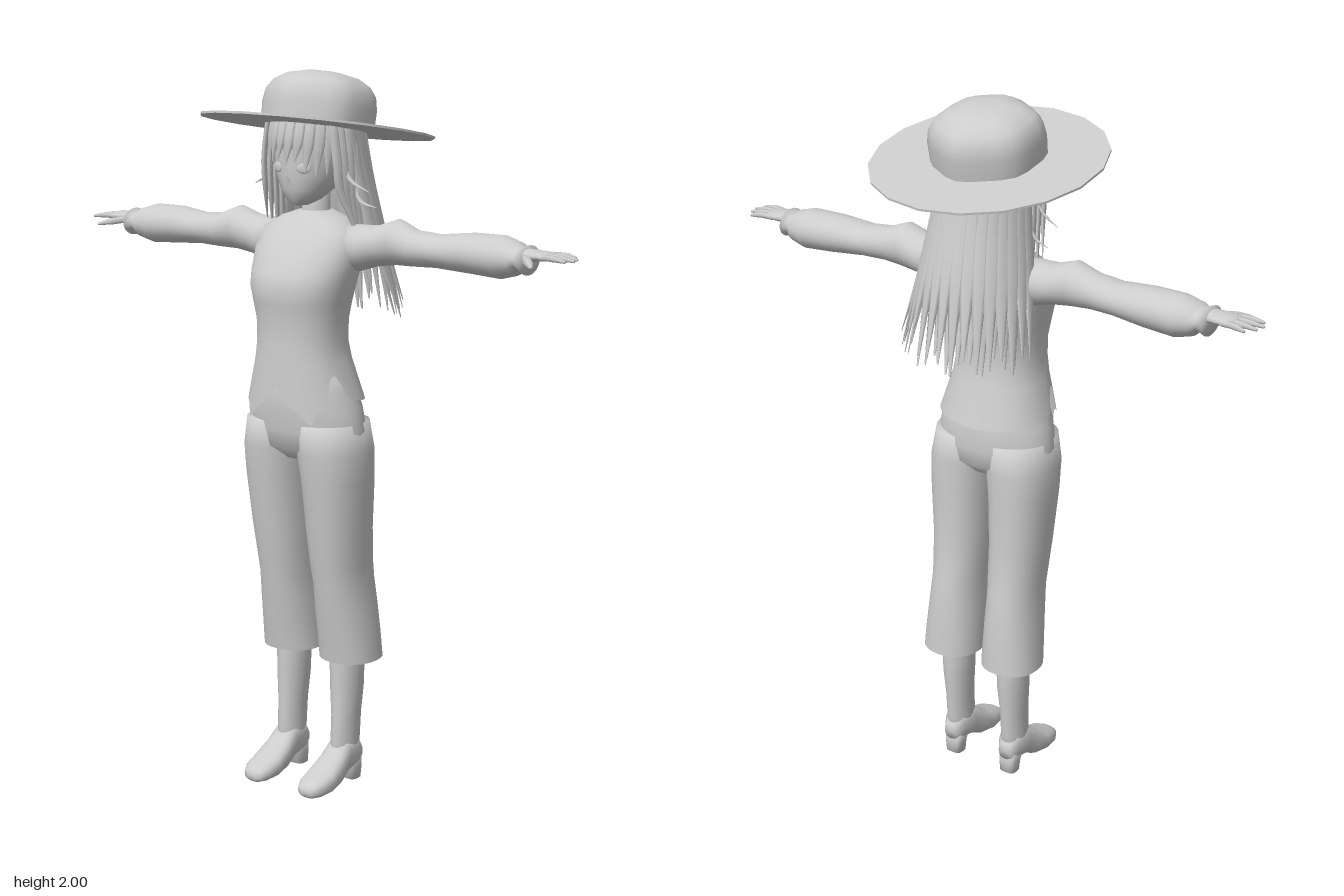
import * as THREE from 'three';
import { mergeGeometries } from 'three/addons/utils/BufferGeometryUtils.js';

const grey = new THREE.MeshStandardMaterial({ color: 0xcccccc, side: THREE.DoubleSide });
grey.name = 'plain grey';

// Smooth skin over closed rings of points, with optional end caps
function skin(rings, capStart = true, capEnd = true) {
  const n = rings[0].length, last = rings.length - 1, pts = rings.flat(), index = [];
  for (let i = 0; i < last; i++) {
    for (let j = 0; j < n; j++) {
      const k = (j + 1) % n, a = i * n + j, b = i * n + k;
      index.push(a, b, b + n, a, b + n, a + n);
    }
  }
  const cap = (r, flip) => {
    const c = new THREE.Vector3();
    rings[r].forEach(p => c.addScaledVector(p, 1 / n));
    const m = pts.push(c) - 1;
    for (let j = 0; j < n; j++) {
      const a = r * n + j, b = r * n + (j + 1) % n;
      index.push(m, flip ? b : a, flip ? a : b);
    }
  };
  if (capStart) cap(0, true);
  if (capEnd) cap(last, false);
  const g = new THREE.BufferGeometry().setFromPoints(pts);
  g.setIndex(index);
  g.computeVertexNormals();
  return g;
}

// Rings along an axis (0 x, 1 y, 2 z); section = [position, min, max, min, max] on the next two axes
function rings(axis, sections, n = 24, power = 1) {
  const bend = v => Math.sign(v) * Math.abs(v) ** power;
  return sections.map(([t, c0, c1, s0, s1]) => Array.from({ length: n }, (_, j) => {
    const th = j / n * Math.PI * 2, p = [];
    p[axis] = t;
    p[(axis + 1) % 3] = (c0 + c1) / 2 + (c1 - c0) / 2 * bend(Math.cos(th));
    p[(axis + 2) % 3] = (s0 + s1) / 2 + (s1 - s0) / 2 * bend(Math.sin(th));
    return new THREE.Vector3(...p);
  }));
}
// Sections symmetric in x, stacked upwards: [y, back z, front z, half width]
const stack = list => list.map(([y, b, f, w]) => [y, b, f, -w, w]);

// Tapering flattened strand along a curve; out is the thin direction
function strand(points, out, width, thick, tip = 0.15, steps = 8) {
  const curve = new THREE.CatmullRomCurve3(points.map(p => new THREE.Vector3(...p)));
  const list = [];
  for (let i = 0; i <= steps; i++) {
    const t = i / steps, c = curve.getPoint(t), tan = curve.getTangent(t);
    const v = new THREE.Vector3(...out).addScaledVector(tan, -tan.dot(new THREE.Vector3(...out))).normalize();
    const u = v.clone().cross(tan);
    const k = t < 0.6 ? 1 : THREE.MathUtils.lerp(1, tip, (t - 0.6) / 0.4);
    list.push(Array.from({ length: 6 }, (_, j) => c.clone()
      .addScaledVector(u, Math.cos(j * Math.PI / 3) * width / 2 * k)
      .addScaledVector(v, Math.sin(j * Math.PI / 3) * thick / 2 * k)));
  }
  return skin(list);
}

function mirrored(geo) {
  const g = geo.clone().scale(-1, 1, 1), ix = g.index.array;
  for (let i = 0; i < ix.length; i += 3) [ix[i], ix[i + 1]] = [ix[i + 1], ix[i]];
  return g;
}

export function createModel() {
  const model = new THREE.Group();
  const add = (name, geo, parent = model) => {
    const m = new THREE.Mesh(geo, grey);
    m.name = name;
    parent.add(m);
    return m;
  };
  const pair = (name, geo) => {
    add(name + 'Left', geo);
    add(name + 'Right', mirrored(geo));
  };

  // Shirt with a jagged hem
  const shirt = rings(1, stack([
    [1.06, -0.105, 0.188, 0.182], [1.23, -0.06, 0.182, 0.132], [1.28, -0.048, 0.178, 0.125],
    [1.34, -0.048, 0.179, 0.126], [1.39, -0.055, 0.186, 0.136], [1.43, -0.065, 0.192, 0.145],
    [1.47, -0.075, 0.18, 0.151], [1.53, -0.08, 0.145, 0.16], [1.58, -0.07, 0.105, 0.15],
    [1.612, -0.055, 0.075, 0.1], [1.63, -0.04, 0.055, 0.045]]), 64, 0.9);
  const hem = [[0, 1.17], [0.2, 1.12], [0.4, 1.1], [0.6, 1.065], [0.72, 1.11], [0.95, 1.11],
    [1.1, 1.19], [1.3, 1.2], [1.5, 1.13], [1.9, 1.12], [3.2, 1.11]];
  shirt[0].forEach((p, j) => {
    const a = j / 64 * Math.PI * 2, th = Math.min(a, Math.PI * 2 - a);
    const k = hem.findIndex(h => h[0] > th), [a0, y0] = hem[k - 1], [a1, y1] = hem[k];
    const y = THREE.MathUtils.lerp(y0, y1, (th - a0) / (a1 - a0));
    p.lerp(shirt[1][j], (y - 1.06) / 0.17);
  });
  add('shirt', skin(shirt, false, true));

  // Trousers
  add('trouserSeat', skin(rings(1, stack([
    [0.955, -0.04, 0.11, 0.11], [0.99, -0.075, 0.152, 0.176], [1.04, -0.082, 0.162, 0.178],
    [1.1, -0.08, 0.17, 0.165], [1.15, -0.07, 0.17, 0.146], [1.22, -0.045, 0.16, 0.12]]), 32)));
  pair('trouserLeg', skin(rings(1, [
    [0.37, -0.115, 0.06, 0.013, 0.186], [0.43, -0.112, 0.07, 0.015, 0.182], [0.52, -0.106, 0.087, 0.018, 0.174],
    [0.6, -0.097, 0.1, 0.022, 0.167], [0.65, -0.088, 0.108, 0.017, 0.17], [0.75, -0.08, 0.125, 0.014, 0.176],
    [0.9, -0.08, 0.145, 0.007, 0.186], [0.98, -0.08, 0.155, -0.003, 0.187], [1.06, -0.075, 0.158, -0.01, 0.172]],
  24, 0.9), false, true));

  // Boots
  pair('bootShaft', skin(rings(1, [
    [0.06, -0.05, 0.04, 0.06, 0.132], [0.12, -0.058, 0.048, 0.062, 0.13], [0.2, -0.062, 0.042, 0.06, 0.132],
    [0.28, -0.07, 0.042, 0.053, 0.138], [0.35, -0.072, 0.042, 0.05, 0.14], [0.45, -0.07, 0.045, 0.05, 0.14]])));
  pair('bootFoot', skin(rings(2, [
    [-0.06, 0.075, 0.118, 0.05, 0.1], [-0.035, 0.06, 0.132, 0.042, 0.13], [0.02, 0.056, 0.137, 0.03, 0.135],
    [0.06, 0.052, 0.142, 0.008, 0.1], [0.11, 0.048, 0.147, 0, 0.068], [0.15, 0.053, 0.142, 0, 0.054],
    [0.175, 0.066, 0.128, 0.003, 0.04], [0.182, 0.08, 0.115, 0.01, 0.03]], 20, 0.8)));
  pair('bootHeel', skin(rings(1, [
    [0, -0.056, -0.01, 0.07, 0.122], [0.035, -0.058, -0.006, 0.068, 0.125], [0.075, -0.056, 0.015, 0.066, 0.128]], 16, 0.6)));

  // Sleeves and hands
  pair('sleeve', skin(rings(0, [
    [0.1, 1.46, 1.6, -0.06, 0.075], [0.17, 1.48, 1.6, -0.062, 0.07], [0.21, 1.492, 1.602, -0.062, 0.064],
    [0.27, 1.5, 1.622, -0.06, 0.06], [0.33, 1.502, 1.598, -0.047, 0.059], [0.4, 1.504, 1.592, -0.058, 0.058],
    [0.5, 1.497, 1.603, -0.075, 0.055], [0.59, 1.491, 1.603, -0.078, 0.054], [0.635, 1.503, 1.59, -0.066, 0.048],
    [0.65, 1.518, 1.578, -0.05, 0.042], [0.672, 1.508, 1.586, -0.056, 0.05]])));
  const fingers = [-0.034, -0.013, 0.008, 0.028].map((z, i) => strand(
    [[0.715, 1.56, z * 0.9], [0.755, 1.562, z * 1.1], [[0.785, 0.805, 0.812, 0.8][i], 1.557, z * 1.3]],
    [0, 1, 0], 0.019, 0.017, 0.45));
  fingers.push(strand([[0.675, 1.555, 0.02], [0.705, 1.55, 0.055], [0.735, 1.543, 0.09]], [0, 1, 0], 0.026, 0.02, 0.35));
  fingers.push(skin(rings(0, [[0.64, 1.54, 1.58, -0.025, 0.025], [0.69, 1.545, 1.576, -0.036, 0.034],
    [0.73, 1.55, 1.573, -0.043, 0.037], [0.745, 1.554, 1.57, -0.04, 0.034]], 16)));
  pair('hand', mergeGeometries(fingers));

  // Neck, head and face
  add('neck', skin(rings(1, stack([[1.58, -0.04, 0.055, 0.05], [1.63, -0.035, 0.045, 0.038], [1.72, -0.035, 0.045, 0.038]]))));
  add('head', skin(rings(1, stack([
    [1.648, 0.04, 0.094, 0.016], [1.662, 0.005, 0.11, 0.042], [1.69, -0.04, 0.121, 0.068], [1.73, -0.075, 0.127, 0.089],
    [1.8, -0.1, 0.13, 0.104], [1.87, -0.11, 0.125, 0.108], [1.93, -0.08, 0.09, 0.08]]))));
  add('nose', new THREE.ConeGeometry(0.009, 0.03, 6).rotateX(0.5).translate(0, 1.718, 0.128));
  pair('ear', new THREE.SphereGeometry(1, 10, 8).scale(0.01, 0.026, 0.018).translate(0.102, 1.745, 0.01));
  pair('eye', new THREE.SphereGeometry(1, 12, 8).scale(0.02, 0.014, 0.004).rotateY(0.38).translate(0.043, 1.75, 0.116));

  // Hair: scalp, two rows of long back strands, side locks and fringe
  const hair = new THREE.Group();
  hair.name = 'hair';
  model.add(hair);
  add('scalp', new THREE.SphereGeometry(1, 24, 16, 0, Math.PI * 2, 0, 2).scale(0.118, 0.13, 0.13).translate(0, 1.83, -0.012), hair);
  const back = [];
  for (let row = 0; row < 2; row++) {
    const n = 17 - row;
    for (let i = 0; i < n; i++) {
      const f = (i / (n - 1) * 2 - 1) * (row ? 1.42 : 1.52), s = Math.sin(f), c = Math.cos(f), r = 1 - row * 0.07;
      const end = 1.345 + 0.025 * Math.sin(i * 2.4 + row) + 0.015 * Math.abs(s);
      back.push(strand([[0.113 * s * r, 1.89, 0.02 - 0.15 * c * r], [0.13 * s * r, 1.72, -0.01 - 0.153 * c * r],
        [0.16 * s * r, 1.55, -0.04 - 0.163 * c * r], [0.197 * s * r, end, -0.09 - 0.152 * c * r]],
      [s, 0, -c], 0.05, 0.016, 0.12, 10));
    }
  }
  add('backHair', mergeGeometries(back), hair);
  const locks = [[0.075, 1.6, 0.028], [0.05, 1.55, 0.032], [0.025, 1.5, 0.034], [0, 1.45, 0.034]].map(([z, y, w]) =>
    strand([[0.107, 1.88, z], [0.124, 1.77, z], [0.128, (y + 1.77) / 2, z - 0.01], [0.15, y, z - 0.045]], [1, 0, 0.4], w, 0.014));
  locks.push(strand([[0.115, 1.78, 0.04], [0.14, 1.72, 0.04], [0.195, 1.69, 0.03]], [0, 1, 0.5], 0.014, 0.008));
  locks.push(strand([[0.12, 1.72, 0.0], [0.145, 1.66, 0.0], [0.19, 1.645, -0.01]], [0, 1, 0.5], 0.014, 0.008));
  pair('sideLocks', mergeGeometries(locks));
  const fringe = [];
  for (let i = 0; i < 10; i++) {
    const f = -1.05 + i * 0.233, g = f * 1.04 - 0.12, end = 1.775 - 0.05 * Math.abs(f) + 0.012 * Math.sin(i * 2.3);
    fringe.push(strand([[0.105 * Math.sin(f), 1.9, 0.122 * Math.cos(f)], [0.114 * Math.sin(f), 1.84, 0.01 + 0.128 * Math.cos(f)],
      [0.118 * Math.sin(g), end, 0.012 + 0.128 * Math.cos(g)]], [Math.sin(f), 0, Math.cos(f)], 0.036, 0.012, 0.1));
  }
  add('fringe', mergeGeometries(fringe), hair);

  // Wide hat tipped back, with a softly six-sided crown
  const hat = new THREE.Group();
  hat.name = 'hat';
  hat.position.y = 1.852;
  hat.rotation.x = -0.17;
  model.add(hat);
  add('brim', new THREE.CylinderGeometry(0.319, 0.319, 0.006, 18), hat);
  const crown = [[0, 0.149], [0.055, 0.151], [0.09, 0.145], [0.115, 0.128], [0.135, 0.095], [0.145, 0.05]];
  add('crown', skin(crown.map(([y, r]) => Array.from({ length: 24 }, (_, j) => {
    const th = j / 24 * Math.PI * 2, q = r * (1 + 0.035 * Math.cos(6 * th));
    return new THREE.Vector3(q * Math.sin(th), y, q * Math.cos(th));
  })), false, true), hat);
  return model;
}
